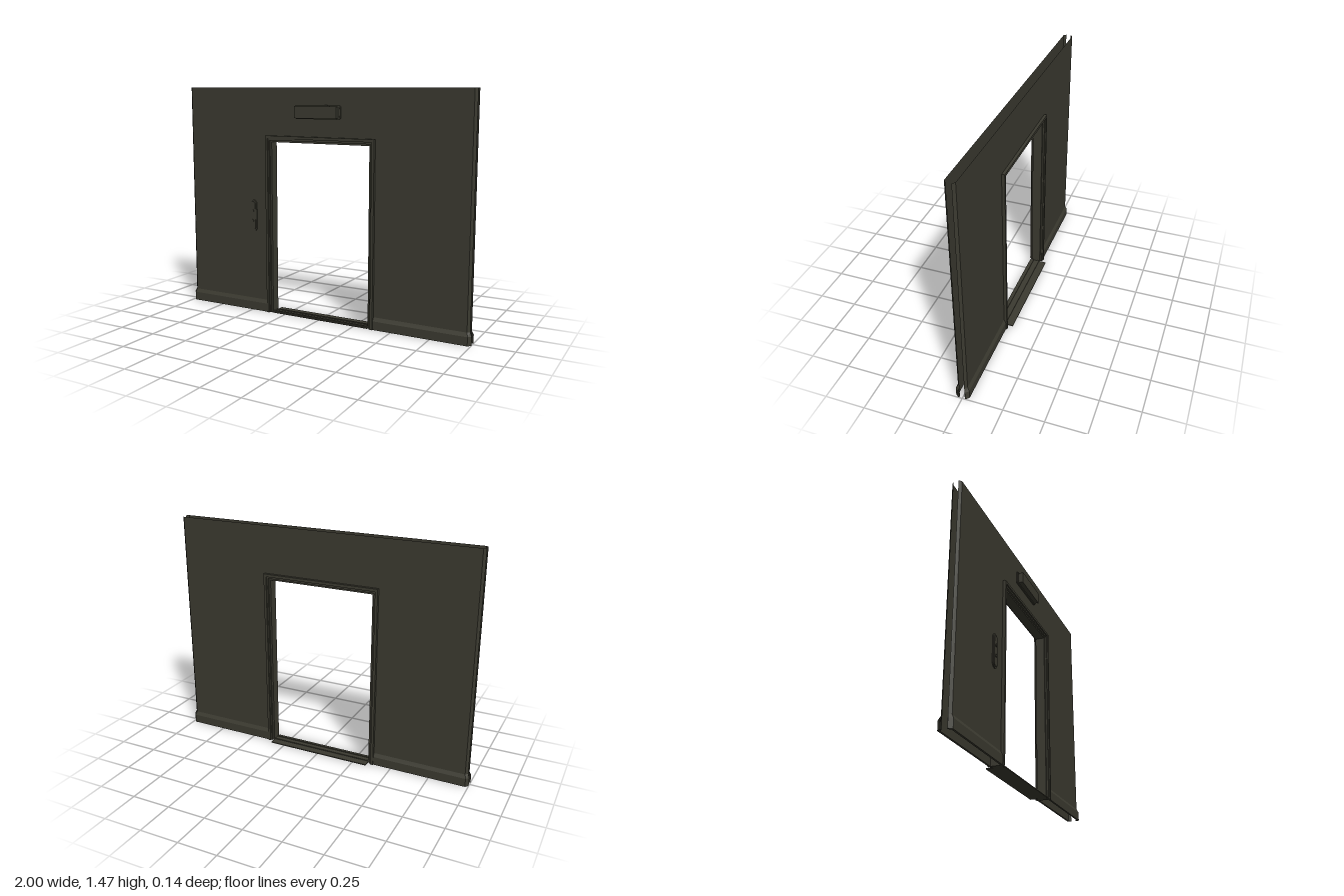
import * as THREE from 'three';

export function createModel() {
  const model = new THREE.Group();
  const wall = new THREE.Group();
  wall.name = 'doorwayWall';
  wall.position.z = 0.003;
  model.add(wall);

  const paint = new THREE.MeshStandardMaterial({ color: 0x3b3a30, side: THREE.DoubleSide });
  paint.name = 'darkOlivePaint';

  const add = (name, geo, x = 0, y = 0, z = 0) => {
    const mesh = new THREE.Mesh(geo, paint);
    mesh.name = name;
    mesh.position.set(x, y, z);
    wall.add(mesh);
    return mesh;
  };
  const box = (name, w, h, d, x, y, z) => add(name, new THREE.BoxGeometry(w, h, d), x, y, z);

  // Flat-faced sheet through rows of points
  function sheet(rows) {
    const pos = [];
    for (let r = 0; r + 1 < rows.length; r++) {
      for (let i = 0; i + 1 < rows[r].length; i++) {
        const a = rows[r][i], b = rows[r][i + 1], c = rows[r + 1][i + 1], d = rows[r + 1][i];
        pos.push(...a, ...b, ...c, ...a, ...c, ...d);
      }
    }
    const geo = new THREE.BufferGeometry();
    geo.setAttribute('position', new THREE.Float32BufferAttribute(pos, 3));
    geo.computeVertexNormals();
    return geo;
  }

  const H = 1.47, Z = 0.03;
  for (const f of [1, -1]) {
    const face = f > 0 ? 'front' : 'back';
    for (const s of [1, -1]) {
      // Wall skin with its outer edge folded inwards
      const skinRow = (y) => [[0.37 * s, y, Z * f], [0.975 * s, y, Z * f], [0.99 * s, y, (Z - 0.015) * f]];
      const skin = f * s > 0 ? [skinRow(0), skinRow(H)] : [skinRow(H), skinRow(0)];
      add(face + 'WallPanel', sheet(skin));

      // Skirting with a sloped top, following the folded edge
      const skirtRow = ([y, o]) => [
        [0.37 * s, y, (Z + o) * f],
        [(0.975 + o * 0.6) * s, y, (Z + o) * f],
        [(0.99 + o * 0.83) * s, y, (Z - 0.015 + o * 0.5) * f],
      ];
      const skirt = [[0, 0], [0, 0.012], [0.055, 0.012], [0.078, 0]].map(skirtRow);
      add(face + 'Skirting', sheet(f * s > 0 ? skirt : skirt.reverse()));
    }
    // Skin above the doorway
    const over = (y) => [[-0.37, y, Z * f], [0.37, y, Z * f]];
    add(face + 'HeaderPanel', sheet(f > 0 ? [over(1.15), over(H)] : [over(H), over(1.15)]));
  }

  // Stepped door frame: nested arches, each shallower than the one outside it
  const arch = (name, xo, yo, xi, yi, depth) => {
    const shape = new THREE.Shape([
      [-xo, 0], [-xo, yo], [xo, yo], [xo, 0], [xi, 0], [xi, yi], [-xi, yi], [-xi, 0],
    ].map(([x, y]) => new THREE.Vector2(x, y)));
    const geo = new THREE.ExtrudeGeometry(shape, { depth, bevelEnabled: false });
    geo.translate(0, 0, -depth / 2);
    add(name, geo);
  };
  arch('frameCasing', 0.383, 1.168, 0.366, 1.15, 0.098);
  arch('frameStep', 0.366, 1.15, 0.356, 1.138, 0.082);
  arch('frameJamb', 0.356, 1.138, 0.344, 1.127, 0.06);

  // Threshold plate reaching out at the back, with guide ribs
  box('threshold', 0.688, 0.006, 0.115, 0, 0.003, -0.0175);
  for (const z of [-0.02, 0.02]) box('thresholdRib', 0.688, 0.005, 0.012, 0, 0.0085, z);

  // Plate outline with rounded corners
  function roundedPlate(w, h, r, depth) {
    const x = w / 2, y = h / 2, p = new THREE.Shape();
    p.absarc(x - r, y - r, r, 0, Math.PI / 2);
    p.absarc(-x + r, y - r, r, Math.PI / 2, Math.PI);
    p.absarc(-x + r, -y + r, r, Math.PI, Math.PI * 1.5);
    p.absarc(x - r, -y + r, r, Math.PI * 1.5, Math.PI * 2);
    return new THREE.ExtrudeGeometry(p, { depth, bevelEnabled: false, curveSegments: 8 });
  }

  // Lamp above the door
  const lx = -0.006, ly = 1.321;
  add('lampBase', roundedPlate(0.318, 0.086, 0.014, 0.009), lx, ly, Z);
  box('lampHousing', 0.285, 0.07, 0.03, lx, ly, Z + 0.024);
  const rim = new THREE.Shape([[-0.146, -0.038], [0.146, -0.038], [0.146, 0.038], [-0.146, 0.038]]
    .map(([x, y]) => new THREE.Vector2(x, y)));
  rim.holes.push(new THREE.Path([[-0.137, -0.029], [-0.137, 0.029], [0.137, 0.029], [0.137, -0.029]]
    .map(([x, y]) => new THREE.Vector2(x, y))));
  add('lampRim', new THREE.ExtrudeGeometry(rim, { depth: 0.008, bevelEnabled: false }), lx, ly, Z + 0.031);
  const disc = (name, r, d, x, y, z) => {
    const geo = new THREE.CylinderGeometry(r, r, d, 12);
    geo.rotateX(Math.PI / 2);
    add(name, geo, x, y, z);
  };
  for (const sx of [1, -1]) for (const sy of [1, -1]) {
    disc('lampScrew', 0.005, 0.004, lx + sx * 0.152, ly + sy * 0.026, Z + 0.01);
  }

  // Call button plate beside the door
  const bx = -0.492, by = 0.638;
  add('buttonPlate', roundedPlate(0.06, 0.214, 0.0299, 0.006), bx, by, Z);
  add('buttonPlateInset', roundedPlate(0.042, 0.192, 0.0209, 0.004), bx, by, Z + 0.006);
  for (const dy of [0.033, -0.033]) disc('callButton', 0.01, 0.006, bx, by + dy, Z + 0.012);

  return model;
}
